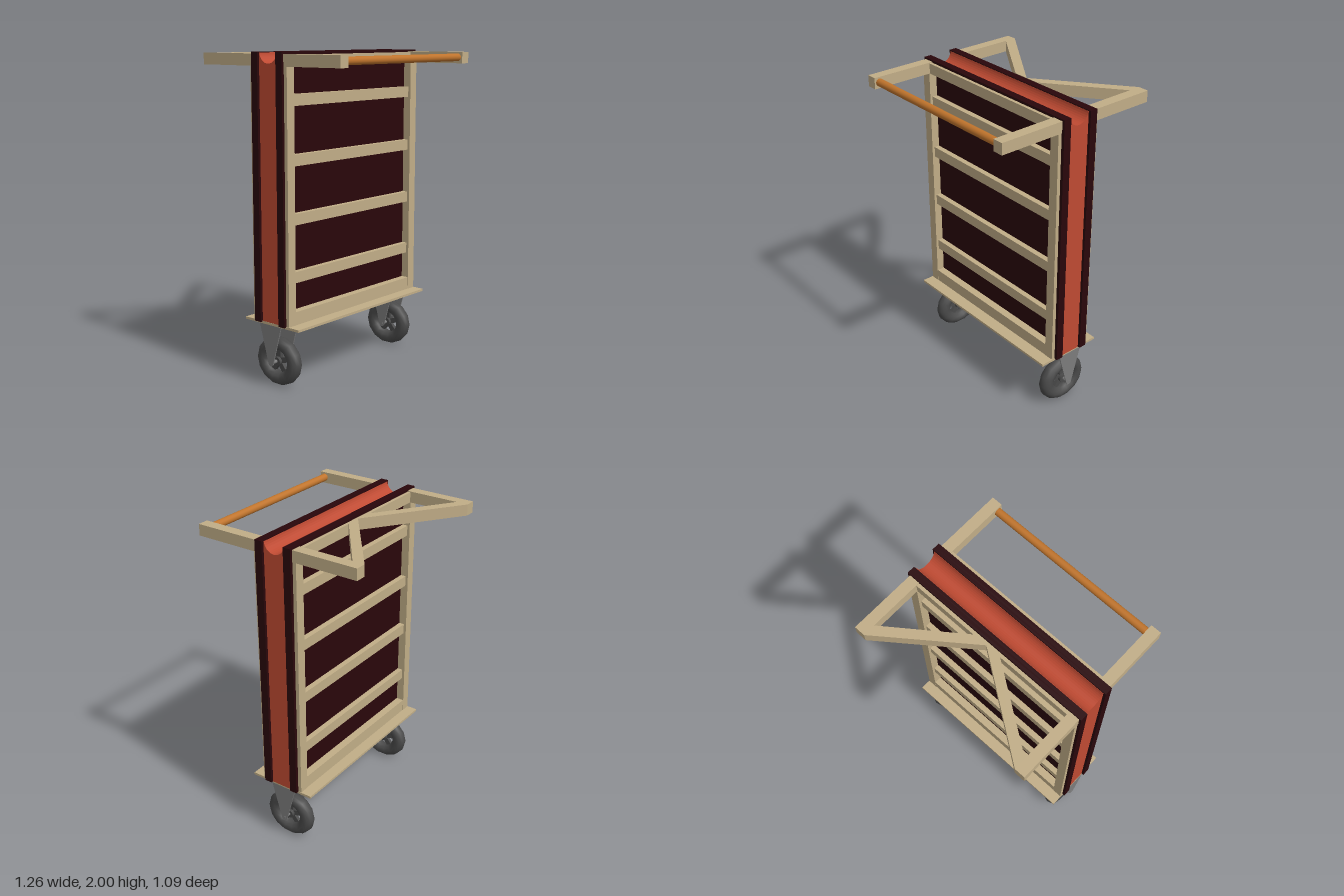
import * as THREE from 'three';

const mat = (name, color) => {
  const m = new THREE.MeshStandardMaterial({ color });
  m.name = name;
  return m;
};

export function createModel() {
  const wood = mat('pale wood', 0xc1ad87);
  const maroon = mat('dark maroon', 0x29060a);
  const red = mat('brick red', 0xbf4a32);
  const orange = mat('orange wood', 0xc0742c);
  const steel = mat('grey steel', 0x7c7c7c);
  const rubber = mat('dark rubber', 0x4a4a4a);

  const model = new THREE.Group();
  model.name = 'panelTrolley';

  const add = (parent, name, geometry, material, x = 0, y = 0, z = 0) => {
    const mesh = new THREE.Mesh(geometry, material);
    mesh.name = name;
    mesh.position.set(x, y, z);
    parent.add(mesh);
    return mesh;
  };
  // Box given by its lower and upper limits
  const box = (parent, name, material, [x0, x1], [y0, y1], [z0, z1]) =>
    add(parent, name, new THREE.BoxGeometry(x1 - x0, y1 - y0, z1 - z0), material,
      (x0 + x1) / 2, (y0 + y1) / 2, (z0 + z1) / 2);
  // Profile in (z, y), extruded along x and centred on x = 0
  const sideExtrude = (shape, width, curveSegments) =>
    new THREE.ExtrudeGeometry(shape, { depth: width, bevelEnabled: false, curveSegments })
      .translate(0, 0, -width / 2).rotateY(-Math.PI / 2);

  // Core with a faceted half-round groove along its top
  const core = new THREE.Shape();
  core.moveTo(-0.071, 0.4);
  core.lineTo(0.071, 0.4);
  core.lineTo(0.071, 1.995);
  core.absarc(0, 2.003, 0.069, -0.1, Math.PI + 0.1, true);
  core.lineTo(-0.071, 1.995);
  add(model, 'core', sideExtrude(core, 1.23, 8), red);

  // Base board
  box(model, 'baseBoard', wood, [-0.616, 0.613], [0.39, 0.405], [-0.215, 0.222]);

  // Recessed panel, its edging, frame, slats and handle arms on both faces
  for (const s of [1, -1]) {
    const side = new THREE.Group();
    side.name = s > 0 ? 'frontSide' : 'backSide';
    model.add(side);
    const zr = (a, b) => (s > 0 ? [a, b] : [-b, -a]);
    box(side, 'panel', maroon, [-0.63, 0.63], [0.4, 2], zr(0.073, 0.093));
    box(side, 'topEdging', maroon, [-0.63, 0.63], [1.985, 2], zr(0.093, 0.122));
    for (const [x0, x1] of [[-0.63, -0.61], [0.608, 0.63]]) {
      box(side, 'sideEdging', maroon, [x0, x1], [0.4, 1.985], zr(0.093, 0.122));
    }
    for (const [x0, x1] of [[-0.616, -0.55], [0.545, 0.613]]) {
      box(side, 'framePost', wood, [x0 + 0.003, x1 - 0.003], [0.405, 1.92], zr(0.093, 0.145));
      box(side, 'handleArm', wood, [x0, x1], [1.92, 1.99], zr(0.122, 0.543));
    }
    box(side, 'bottomRail', wood, [-0.553, 0.548], [0.405, 0.485], zr(0.093, 0.143));
    box(side, 'topRail', wood, [-0.553, 0.548], [1.92, 1.985], zr(0.093, 0.143));
    for (let i = 0; i < 4; i++) {
      const y = 0.655 + i * 0.347;
      box(side, 'slat', wood, [-0.553, 0.548], [y, y + 0.067], zr(0.093, 0.128));
    }
  }

  // Round push bar at the front
  add(model, 'pushBar', new THREE.CylinderGeometry(0.0235, 0.0235, 1.095, 20).rotateZ(Math.PI / 2),
    orange, -0.0025, 1.957, 0.51);

  // Diagonal braces at the back, meeting in a V
  const brace = (points) => {
    const shape = new THREE.Shape(points.map(([x, z]) => new THREE.Vector2(x, -z)));
    add(model, 'diagonalBrace', new THREE.ExtrudeGeometry(shape, { depth: 0.07, bevelEnabled: false })
      .rotateX(-Math.PI / 2), wood, 0, 1.92, 0);
  };
  // Outer edge first, then inner edge, ordered the same way round
  brace([[-0.55, -0.543], [-0.55, -0.467], [-0.077, -0.143], [0.022, -0.143]]);
  brace([[0.545, -0.543], [0.545, -0.467], [0.115, -0.143], [0.022, -0.143]]);

  // Fork cheek: wide at the top, rounded around the axle
  const cheek = new THREE.Shape();
  cheek.moveTo(-0.087, 0.39);
  cheek.lineTo(-0.02, 0.148);
  cheek.absarc(0, 0.153, 0.02, Math.PI, Math.PI * 2, false);
  cheek.lineTo(0.087, 0.39);
  const cheekGeometry = sideExtrude(cheek, 0.007, 8);

  for (const x of [-0.54, 0.536]) {
    const caster = new THREE.Group();
    caster.name = x > 0 ? 'leftCaster' : 'rightCaster';
    caster.position.set(x, 0, -0.007);
    model.add(caster);

    for (const dx of [-0.073, 0.073]) add(caster, 'forkCheek', cheekGeometry, steel, dx);
    box(caster, 'forkTop', steel, [-0.076, 0.076], [0.383, 0.39], [-0.085, 0.085]);
    add(caster, 'axle', new THREE.CylinderGeometry(0.011, 0.011, 0.156, 12).rotateZ(Math.PI / 2),
      steel, 0, 0.153, 0);

    // Wheel, slightly wider than tall
    const wheel = new THREE.Group();
    wheel.name = 'wheel';
    wheel.position.y = 0.152;
    wheel.scale.set(1, 0.915, 1.025);
    caster.add(wheel);
    add(wheel, 'tyre', new THREE.TorusGeometry(0.121, 0.045, 12, 14).rotateY(Math.PI / 2), rubber);
    add(wheel, 'hub', new THREE.CylinderGeometry(0.03, 0.03, 0.06, 14).rotateZ(Math.PI / 2), rubber);
    for (let i = 0; i < 5; i++) {
      const spoke = add(wheel, 'spoke',
        new THREE.BoxGeometry(0.022, 0.075, 0.036).translate(0, 0.055, 0), rubber);
      spoke.rotation.x = (i * Math.PI * 2) / 5;
    }
  }
  return model;
}
